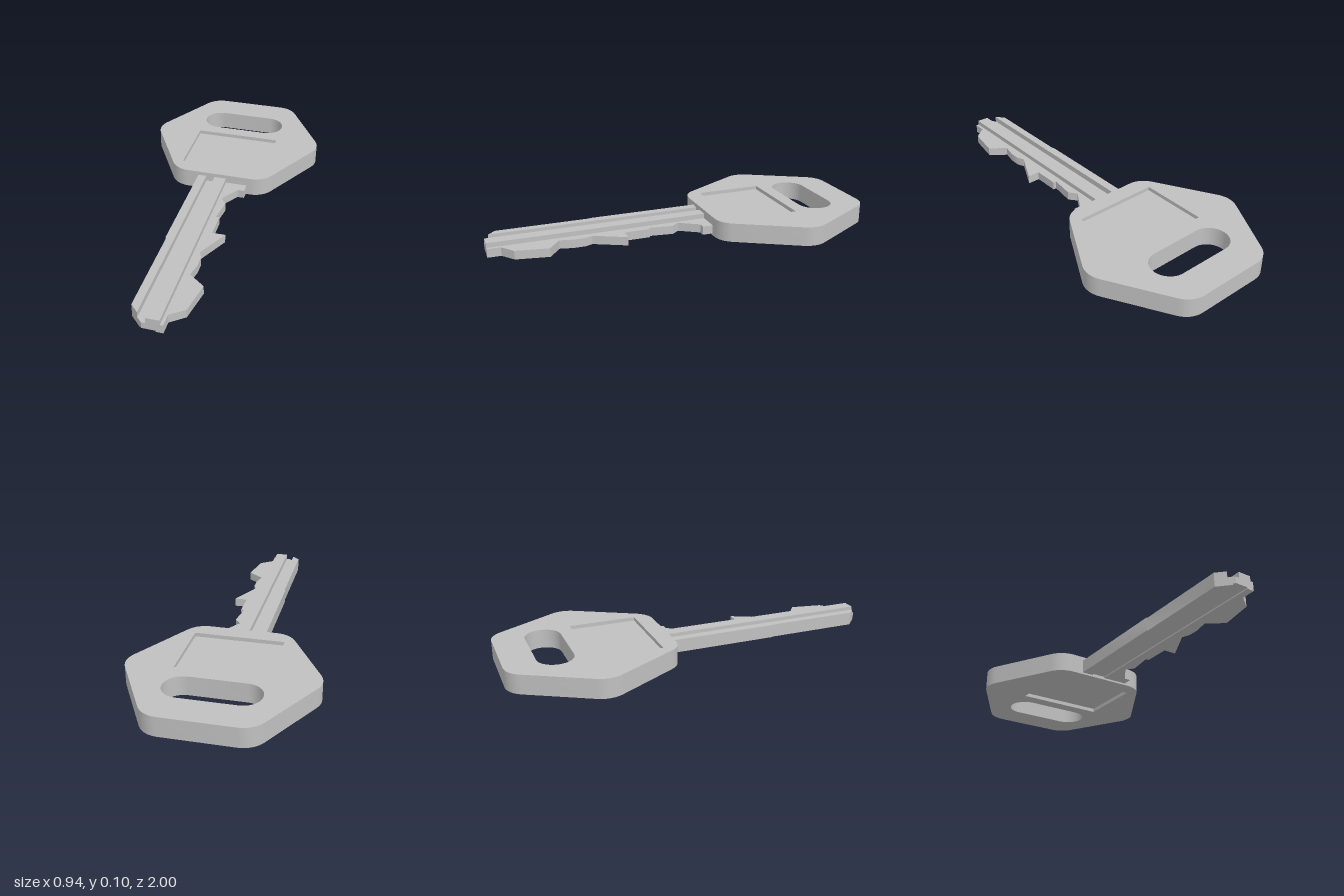
import * as THREE from 'three';
import { toCreasedNormals } from 'three/addons/utils/BufferGeometryUtils.js';

export function createModel() {
  const model = new THREE.Group();
  model.name = 'key';
  const metal = new THREE.MeshStandardMaterial({ color: 0xc0c0c0 });
  metal.name = 'grey metal';

  // Plan shapes are drawn as (x, -z) and raised from y0 to y1.
  function slab(name, shape, y0, y1, parent) {
    let g = new THREE.ExtrudeGeometry(shape, { depth: y1 - y0, bevelEnabled: false, curveSegments: 12 });
    g.rotateX(-Math.PI / 2);
    g.translate(0, y0, 0);
    g = toCreasedNormals(g, 0.5);
    const mesh = new THREE.Mesh(g, metal);
    mesh.name = name;
    parent.add(mesh);
  }
  const plan = (points) => new THREE.Shape(points.map(([x, z]) => new THREE.Vector2(x, -z)));

  // Hexagonal bow with rounded corners
  function bowShape(withRecess) {
    const R = 0.4965, r = 0.12, midZ = -0.57, squash = 0.981;
    const d = R - r / Math.cos(Math.PI / 6);
    const pts = [];
    for (let i = 0; i < 6; i++) {
      for (let k = 0; k <= 8; k++) {
        const a = (i * Math.PI) / 3, b = a + (k / 8 - 0.5) * (Math.PI / 3);
        pts.push([(d * Math.cos(a) + r * Math.cos(b)) * squash, midZ - d * Math.sin(a) - r * Math.sin(b)]);
      }
    }
    const shape = plan(pts);
    // Ring slot
    const slot = new THREE.Path();
    slot.absarc(0.141, 0.746, 0.092, -Math.PI / 2, Math.PI / 2);
    slot.absarc(-0.141, 0.746, 0.092, Math.PI / 2, Math.PI * 1.5);
    slot.closePath();
    shape.holes.push(slot);
    // Label recess
    if (withRecess) {
      const x = 0.23, n = 0.228, f = 0.585;
      shape.holes.push(new THREE.Path([[-x, n], [x, n], [x, f], [-x, f]].map((p) => new THREE.Vector2(...p))));
    }
    return shape;
  }
  const bow = new THREE.Group();
  bow.name = 'bow';
  model.add(bow);
  slab('bowLowerRim', bowShape(true), 0, 0.02, bow);
  slab('bowCore', bowShape(false), 0.02, 0.08, bow);
  slab('bowUpperRim', bowShape(true), 0.08, 0.1, bow);

  // Blade made of lengthwise strips, which form its grooved section
  const blade = new THREE.Group();
  blade.name = 'blade';
  model.add(blade);
  const back = -0.15;
  const strip = (x0, x1) => plan([[x0, back], [x1, back], [x1, Math.min(1, 1.045 + x1)], [x0, Math.min(1, 1.045 + x0)]]);
  slab('leftRail', plan([[-0.115, back], [-0.07, back], [-0.07, 0.975], [-0.11, 0.935], [-0.11, 0.45], [-0.115, 0.44]]), 0.01, 0.08, blade);
  slab('grooveEdge', strip(-0.07, -0.055), 0.01, 0.05, blade);
  slab('grooveWeb', plan([[-0.055, back], [-0.025, back], [-0.025, 1], [-0.045, 1], [-0.055, 0.99]]), 0.017, 0.05, blade);
  slab('ridge', strip(-0.025, 0.02), 0.017, 0.08, blade);
  slab('ridgeEdge', strip(0.02, 0.04), 0.01, 0.08, blade);

  // Cut teeth along the left edge
  slab('teeth', plan([
    [0.04, back], [0.155, back], [0.155, -0.085], [0.12, -0.085], [0.055, 0.015],
    [0.087, 0.055], [0.07, 0.182], [0.087, 0.182], [0.087, 0.318], [0.153, 0.318],
    [0.07, 0.482], [0.086, 0.52], [0.086, 0.58], [0.07, 0.65], [0.153, 0.713],
    [0.123, 0.88], [0.055, 0.932], [0.055, 1], [0.04, 1],
  ]), 0.01, 0.055, blade);

  return model;
}
